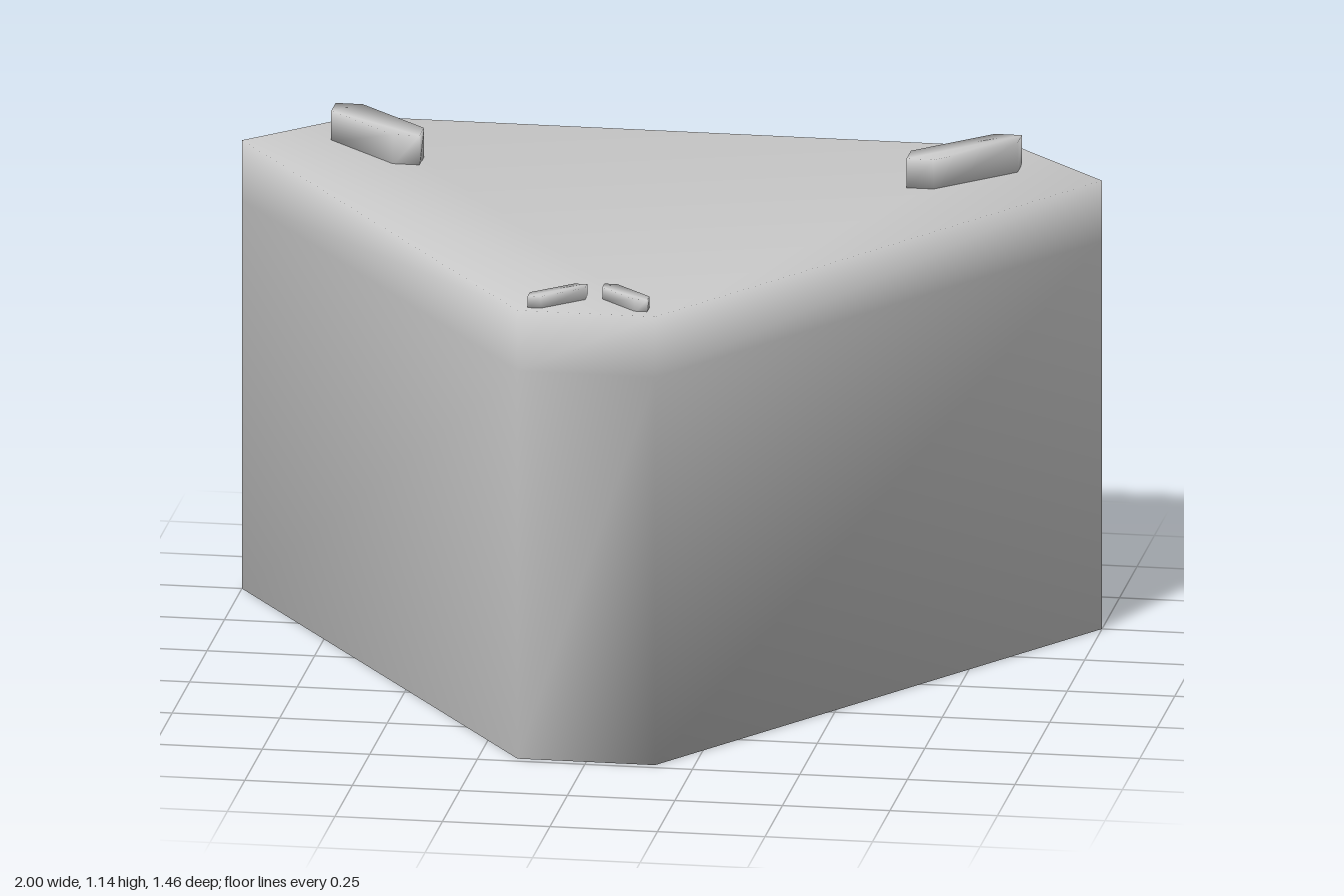
import * as THREE from 'three';

const material = new THREE.MeshStandardMaterial({ color: 0xcccccc });

// Closed upright prism with shared, smooth normals.
// outline: [x, z] corners, counter-clockwise from above; levels: ring heights.
function prism(name, outline, levels) {
  const n = outline.length;
  const position = levels.flatMap((y) => outline.flatMap(([x, z]) => [x, y, z]));
  const index = [];
  for (let k = 0; k < levels.length - 1; k++) {
    for (let i = 0; i < n; i++) {
      const a = k * n + i;
      const b = k * n + ((i + 1) % n);
      index.push(a, b, b + n, a, b + n, a + n);
    }
  }
  const top = (levels.length - 1) * n;
  for (let i = 1; i < n - 1; i++) {
    index.push(top, top + i, top + i + 1, 0, i + 1, i);
  }
  const geometry = new THREE.BufferGeometry();
  geometry.setAttribute('position', new THREE.Float32BufferAttribute(position, 3));
  geometry.setIndex(index);
  geometry.computeVertexNormals();
  const mesh = new THREE.Mesh(geometry, material);
  mesh.name = name;
  return mesh;
}

// Diagonal bar with pointed ends; dir = 1 or -1 picks the diagonal.
function bar(name, cx, cz, hx, hz, tip, dir, levels) {
  const half = [[-hx, -hz + tip], [hx - tip, hz], [hx, hz]];
  const corners = [...half, ...half.map(([x, z]) => [-x, -z])];
  const outline = corners.map(([x, z]) => [cx + dir * x, cz + z]);
  if (dir < 0) outline.reverse();
  return prism(name, outline, levels);
}

export function createModel() {
  const group = new THREE.Group();
  group.name = 'wedgeBlock';

  // Tapered six-sided body with a support ring below the top edge
  const right = [[0.16, 0.73], [1, -0.5], [0.77, -0.73]];
  const left = right.map(([x, z]) => [-x, z]).reverse();
  group.add(prism('body', [...right, ...left], [0, 0.93, 1.075]));

  // Large bars at the rear corners
  for (const side of [-1, 1]) {
    group.add(bar('rearBar', side * 0.682, -0.485, 0.116, 0.113, 0.063, -side, [1.07, 1.145]));
  }

  // Small bars at the narrow front
  group.add(bar('frontBar', -0.08, 0.648, 0.06, 0.057, 0.03, -1, [1.07, 1.103]));
  group.add(bar('frontBar', 0.077, 0.637, 0.059, 0.057, 0.03, 1, [1.07, 1.103]));

  return group;
}
